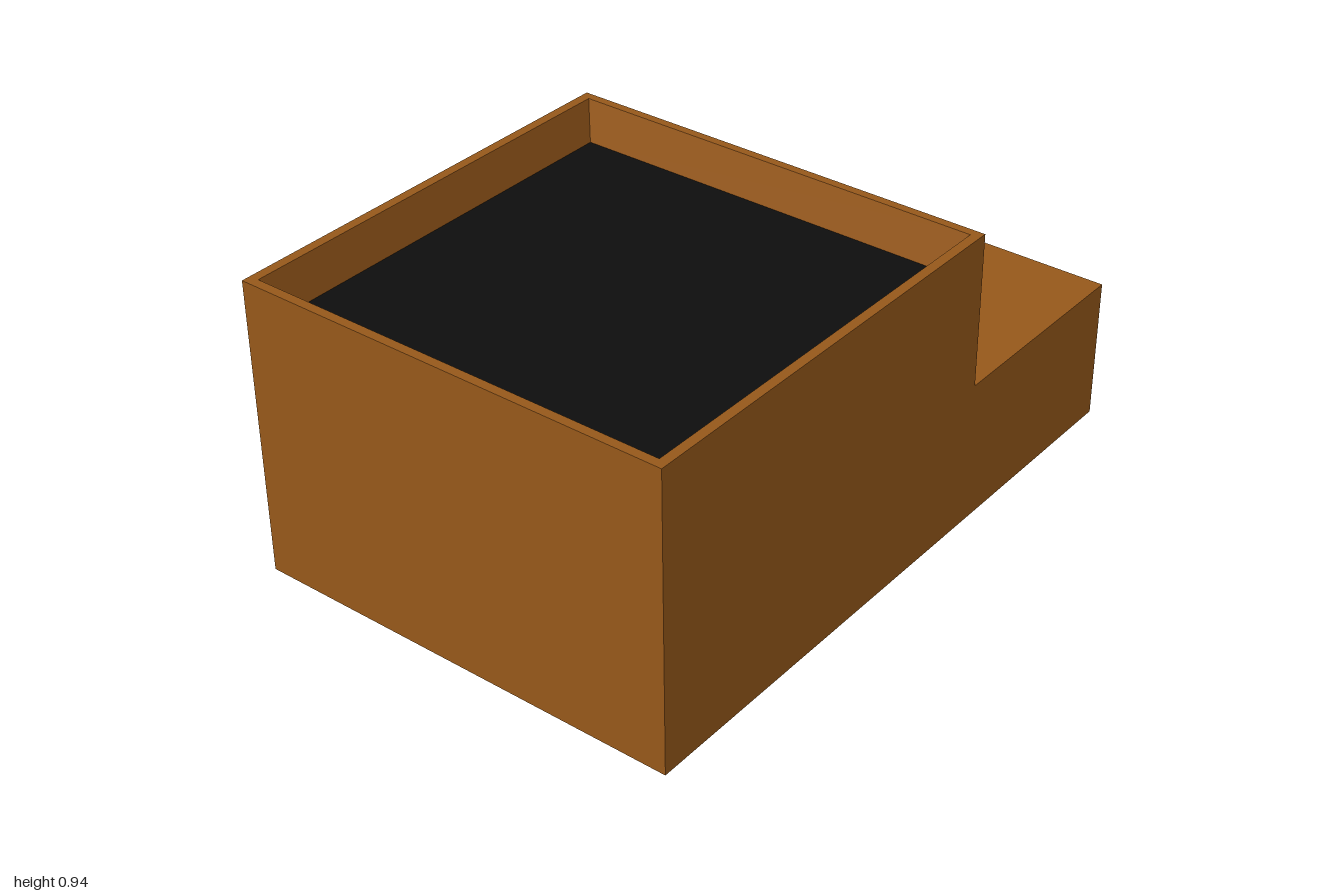
import * as THREE from 'three';

// Main dimensions of the stepped box
const L = -1, R = 0.94, STEP = 0.29, D = 0.648;
const BASE = 0.075, LOW = 0.495, TOP = 0.945;

// Flat-shaded geometry from counter-clockwise quads
function quads(list) {
  const pos = [];
  for (const [a, b, c, d] of list) pos.push(...a, ...b, ...c, ...a, ...c, ...d);
  const g = new THREE.BufferGeometry();
  g.setAttribute('position', new THREE.Float32BufferAttribute(pos, 3));
  g.computeVertexNormals();
  return g;
}

// Horizontal rectangle, counter-clockwise seen from above
const rect = (x0, x1, z, y) => [[x0, y, z], [x1, y, z], [x1, y, -z], [x0, y, -z]];

// Joins successive rectangles; facing down when flipped
function loft(rings, flip, cap) {
  const list = [];
  for (let r = 0; r < rings.length - 1; r++) {
    for (let i = 0; i < 4; i++) {
      const j = (i + 1) % 4;
      list.push([rings[r][i], rings[r][j], rings[r + 1][j], rings[r + 1][i]]);
    }
  }
  if (cap) list.push(rings[rings.length - 1]);
  return quads(flip ? list.map((q) => [...q].reverse()) : list);
}

// Wall facing +x
const wall = (x, y0, y1) => [[x, y0, D], [x, y0, -D], [x, y1, -D], [x, y1, D]];

export function createModel() {
  const model = new THREE.Group();
  const wood = new THREE.MeshStandardMaterial({ color: 0x96581a });
  const black = new THREE.MeshStandardMaterial({ color: 0x0d0d0d });
  const yellow = new THREE.MeshStandardMaterial({ color: 0xc5c92a });
  const add = (name, geometry, material) => {
    const mesh = new THREE.Mesh(geometry, material);
    mesh.name = name;
    model.add(mesh);
    return mesh;
  };

  // L-shaped front and back panels
  const outline = new THREE.Shape([
    [L, BASE], [R, BASE], [R, LOW], [STEP, LOW], [STEP, TOP], [L, TOP],
  ].map(([x, y]) => new THREE.Vector2(x, y)));
  const side = new THREE.ShapeGeometry(outline);
  add('frontPanel', side, wood).position.z = D;
  const back = side.clone().rotateY(Math.PI).scale(1, 1, 1);
  const backOutline = new THREE.Shape(outline.getPoints().map((p) => new THREE.Vector2(-p.x, p.y)));
  back.copy(new THREE.ShapeGeometry(backOutline).rotateY(Math.PI));
  add('backPanel', back, wood).position.z = -D;

  // End walls, riser and step top
  add('endPanels', quads([
    wall(R, BASE, LOW),
    wall(STEP, LOW, TOP),
    wall(L, BASE, TOP).reverse(),
  ]), wood);
  add('stepTop', quads([rect(STEP, R, D, LOW)]), wood);

  // Rim and slightly tapered walls of the top recess, with its black floor
  const floor = rect(-0.945, 0.237, 0.594, 0.83);
  add('topRecess', loft([rect(L, STEP, D, TOP), rect(-0.973, 0.265, 0.62, TOP), floor], false, false), wood);
  add('recessFloor', quads([floor]), black);

  // Underside with the hollow below the step
  add('underside', loft([
    rect(L, R, D, BASE),
    rect(0.295, 0.908, 0.61, BASE),
    rect(0.31, 0.89, 0.585, 0.455),
  ], true, true), wood);

  // Upright tab on the low end
  add('endTab', new THREE.BoxGeometry(0.06, 0.342, 0.146), yellow).position.set(0.97, 0.171, 0);

  return model;
}
